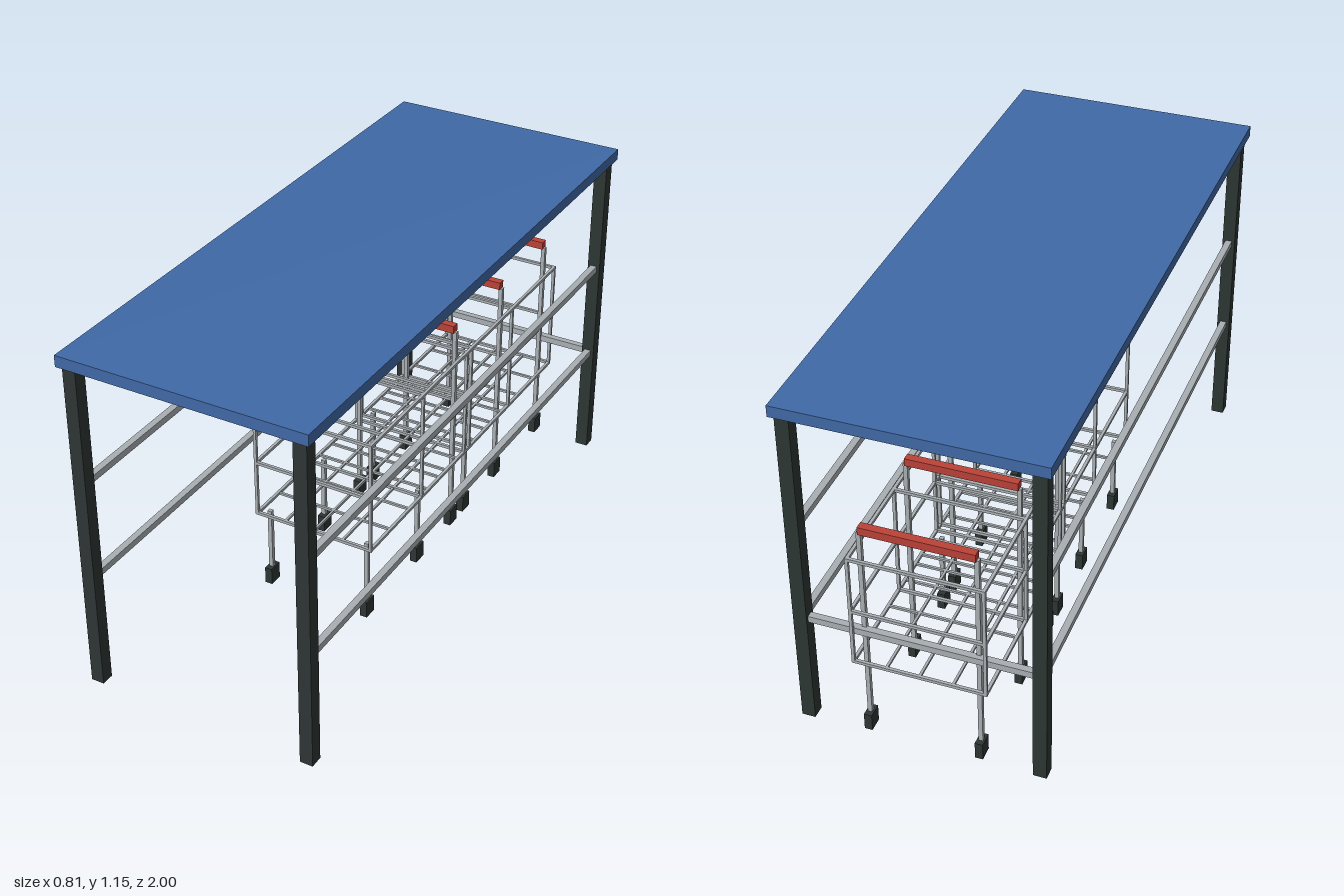
import * as THREE from 'three';

const material = (name, color) => {
  const m = new THREE.MeshStandardMaterial({ color });
  m.name = name;
  return m;
};

export function createModel() {
  const blue = material('roofBlue', 0x4069a6);
  const dark = material('postDark', 0x2d3634);
  const steel = material('steelGrey', 0xa9afb3);
  const red = material('handleRed', 0xbb4238);

  const box = (parent, name, mat, size, pos) => {
    const mesh = new THREE.Mesh(new THREE.BoxGeometry(...size), mat);
    mesh.position.set(...pos);
    mesh.name = name;
    parent.add(mesh);
  };

  const model = new THREE.Group();
  model.name = 'trolleyShelter';

  // Shelter: flat roof, corner posts, side rails and a rear rail
  const shelter = new THREE.Group();
  shelter.name = 'shelter';
  model.add(shelter);
  box(shelter, 'roof', blue, [0.81, 0.037, 2], [0, 1.1315, 0]);
  for (const s of [-1, 1]) {
    for (const e of [-1, 1]) box(shelter, 'post', dark, [0.043, 1.113, 0.043], [s * 0.37, 0.5565, e * 0.966]);
    for (const y of [0.385, 0.718]) box(shelter, 'sideRail', steel, [0.022, 0.022, 1.89], [s * 0.37, y, 0]);
  }
  box(shelter, 'rearRail', steel, [0.697, 0.022, 0.022], [0, 0.385, -0.966]);

  // Trolley, with its origin at the middle of the basket
  const W = 0.206, L = 0.318, T = 0.01;
  const createTrolley = () => {
    const trolley = new THREE.Group();
    trolley.name = 'trolley';

    // Basket rings and corner wires
    for (const y of [0.275, 0.467, 0.66]) {
      for (const s of [-1, 1]) {
        box(trolley, 'basketSideWire', steel, [T, T, 2 * L + T], [s * W, y, 0]);
        box(trolley, 'basketEndWire', steel, [2 * W, T, T], [0, y, s * L]);
      }
    }
    for (const s of [-1, 1]) {
      for (const e of [-1, 1]) box(trolley, 'basketCorner', steel, [T, 0.385, T], [s * W, 0.4675, e * L]);
    }

    // Floor grid
    for (const x of [-0.104, 0, 0.104]) box(trolley, 'floorLongWire', steel, [0.008, 0.008, 2 * L], [x, 0.275, 0]);
    for (let i = 1; i < 5; i++) {
      box(trolley, 'floorCrossWire', steel, [2 * W, 0.008, 0.008], [0, 0.275, -L + (i * 2 * L) / 5]);
    }

    // Legs: short at the front, tall at the rear to carry the handle
    for (const s of [-1, 1]) {
      for (const [z, top] of [[0.288, 0.275], [-0.288, 0.745]]) {
        box(trolley, 'leg', steel, [0.014, top - 0.05, 0.014], [s * 0.177, (top + 0.05) / 2, z]);
        box(trolley, 'wheel', dark, [0.025, 0.058, 0.048], [s * 0.177, 0.029, z]);
      }
    }
    box(trolley, 'handle', red, [0.353, 0.026, 0.026], [0, 0.756, -0.288]);
    return trolley;
  };

  // Three nested trolleys
  for (let i = 0; i < 3; i++) {
    const trolley = createTrolley();
    trolley.position.z = 0.002 - i * 0.3345;
    model.add(trolley);
  }
  return model;
}
